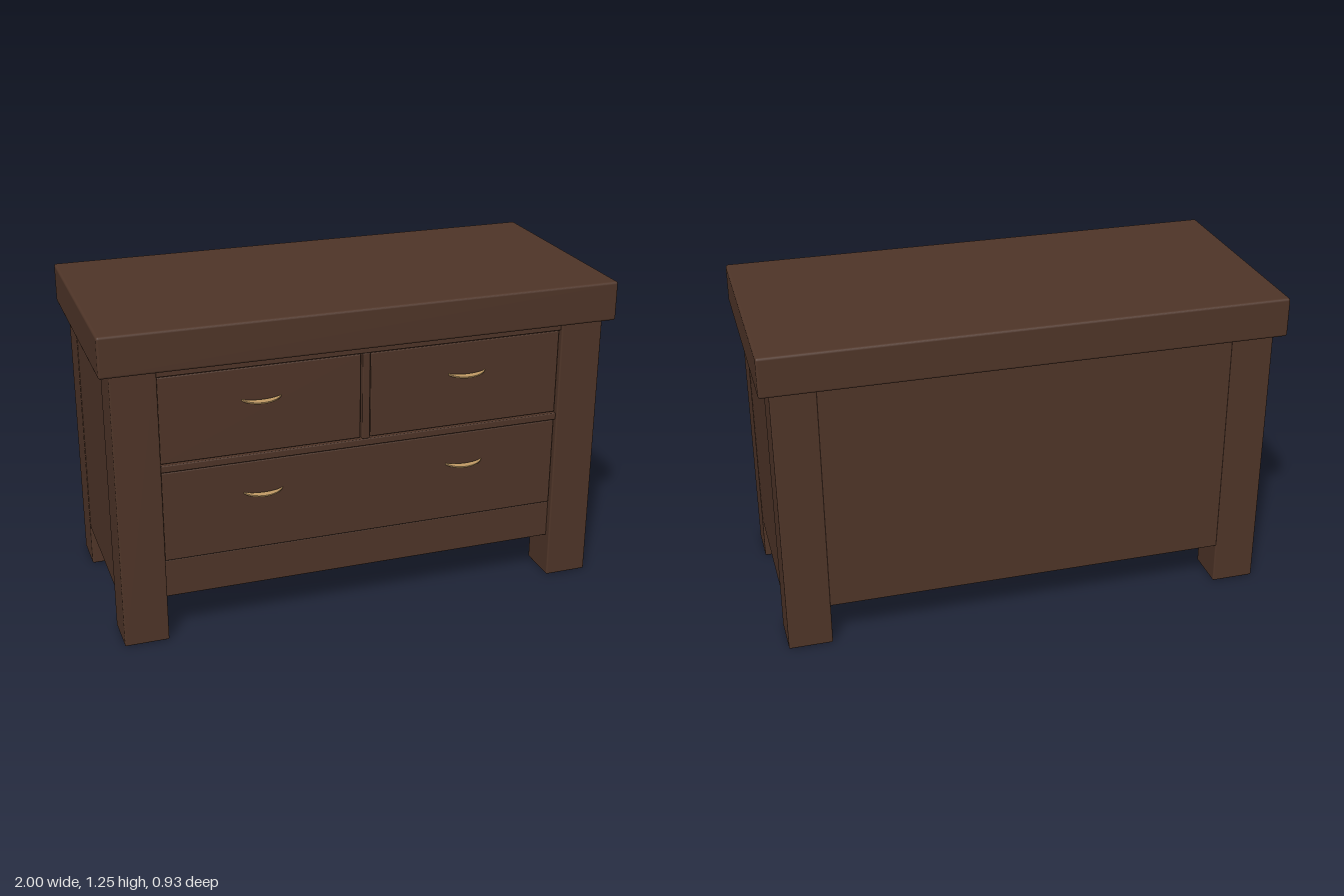
import * as THREE from 'three';
import { RoundedBoxGeometry } from 'three/addons/geometries/RoundedBoxGeometry.js';

const wood = new THREE.MeshStandardMaterial({ color: 0x4f3528 });
const brass = new THREE.MeshStandardMaterial({ color: 0xb8935f });

export function createModel() {
  const model = new THREE.Group();

  // Softly rounded board given by its two extreme corners
  function board(name, [x0, x1], [y0, y1], [z0, z1], radius = 0.004) {
    const geometry = new RoundedBoxGeometry(x1 - x0, y1 - y0, z1 - z0, 2, radius);
    const mesh = new THREE.Mesh(geometry, wood);
    mesh.name = name;
    mesh.position.set((x0 + x1) / 2, (y0 + y1) / 2, (z0 + z1) / 2);
    model.add(mesh);
  }

  // Thick overhanging top
  board('top', [-1, 1], [1.09, 1.245], [-0.465, 0.465], 0.01);

  // Corner legs and the side panels between them
  for (const [side, x] of [['left', [0.79, 0.96]], ['right', [-0.96, -0.79]]]) {
    board(side + 'FrontLeg', x, [0, 1.09], [0.262, 0.432], 0.006);
    board(side + 'BackLeg', x, [0, 1.09], [-0.428, -0.26], 0.006);
    const inset = x.map((v) => v - Math.sign(v) * 0.002);
    board(side + 'Panel', inset, [0.167, 1.09], [-0.262, 0.264]);
  }

  // Back, floor and inner core behind the drawers
  board('backPanel', [-0.792, 0.792], [0.17, 1.09], [-0.43, -0.39]);
  board('core', [-0.795, 0.795], [0.18, 1.09], [-0.4, 0.395]);

  // Front frame rails and divider
  board('topRail', [-0.792, 0.792], [1.058, 1.09], [0.36, 0.422]);
  board('middleRail', [-0.792, 0.792], [0.687, 0.715], [0.36, 0.422]);
  board('divider', [-0.017, 0.013], [0.715, 1.058], [0.36, 0.422]);
  board('bottomRail', [-0.792, 0.792], [0.17, 0.322], [0.36, 0.405]);

  // Drawer fronts
  board('rightDrawer', [-0.787, -0.022], [0.719, 1.054], [0.36, 0.415]);
  board('leftDrawer', [0.018, 0.787], [0.719, 1.054], [0.36, 0.415]);
  board('wideDrawer', [-0.787, 0.787], [0.326, 0.683], [0.36, 0.415]);

  // Crescent pulls, tilted so the outer edge hangs lower
  const crescent = new THREE.Shape();
  crescent.moveTo(-0.075, 0);
  crescent.bezierCurveTo(-0.045, 0.041, 0.045, 0.041, 0.075, 0);
  crescent.bezierCurveTo(0.04, 0.018, -0.04, 0.018, -0.075, 0);
  const pull = new THREE.ExtrudeGeometry(crescent, {
    depth: 0.005, curveSegments: 20,
    bevelEnabled: true, bevelThickness: 0.0015, bevelSize: 0.001, bevelSegments: 2,
  });
  pull.rotateX(Math.PI / 2 + 0.34);
  for (const y of [0.934, 0.562]) {
    for (const x of [-0.405, 0.405]) {
      const handle = new THREE.Mesh(pull, brass);
      handle.name = 'drawerPull';
      handle.position.set(x, y, 0.416);
      model.add(handle);
    }
  }
  return model;
}
